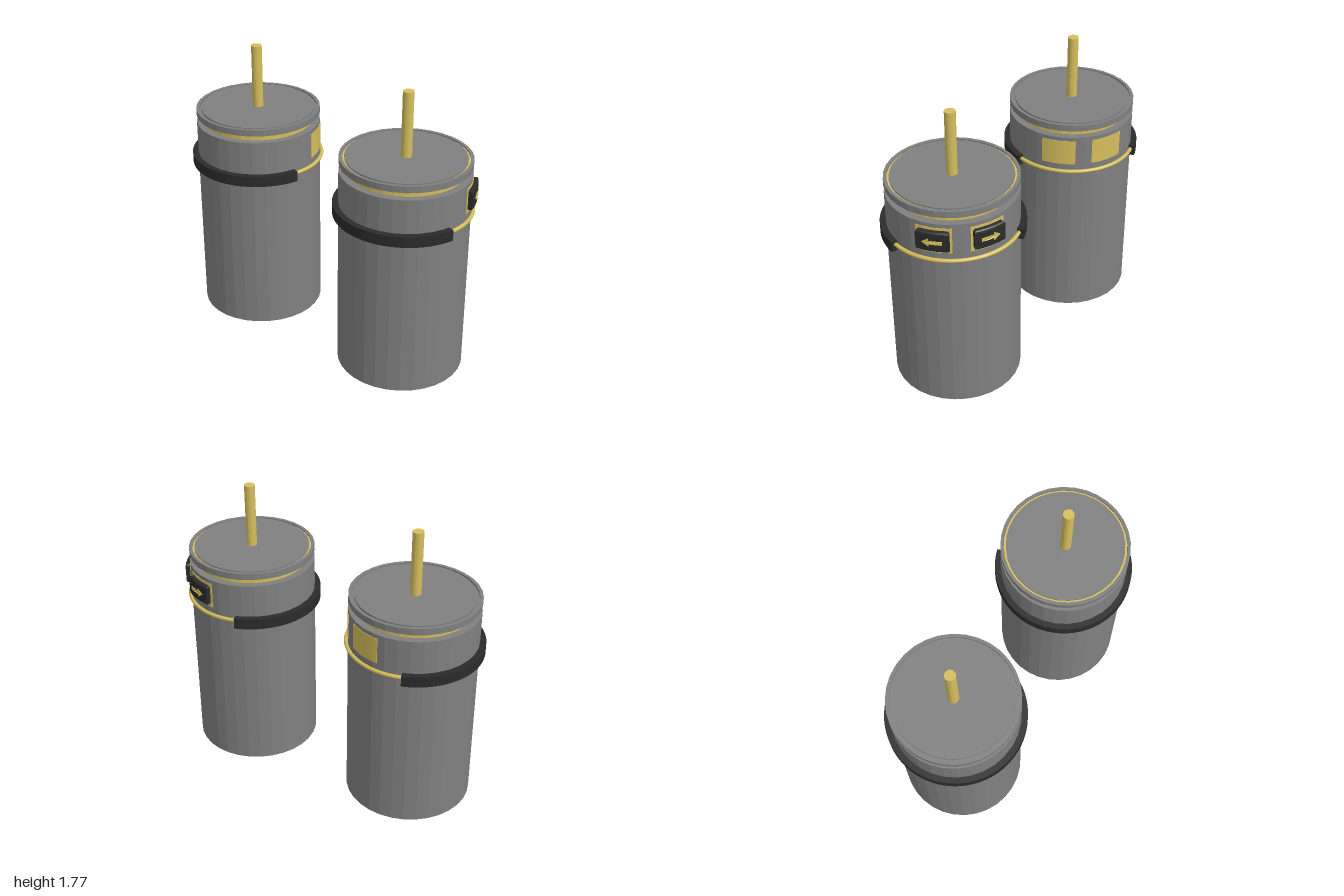
import * as THREE from 'three';

const SIDES = 32;
const R = 0.39;
const rad = THREE.MathUtils.degToRad;

// Angles run from +x towards the back (-z); the band opening is centred here
const OPENING = 44.5;
const OPENING_HALF = 61.5;
const WINDOW_OFFSET = 23;

const grey = new THREE.MeshStandardMaterial({ color: 0x808080 });
grey.name = 'metalGrey';
const gold = new THREE.MeshStandardMaterial({ color: 0xd6be5c });
gold.name = 'brassGold';
const black = new THREE.MeshStandardMaterial({ color: 0x2b2b2b });
black.name = 'rubberBlack';

function add(parent, name, geometry, material) {
  const mesh = new THREE.Mesh(geometry, material);
  mesh.name = name;
  parent.add(mesh);
  return mesh;
}

function faceted(geometry) {
  const g = geometry.toNonIndexed();
  g.computeVertexNormals();
  return g;
}

function cylinder(r, y0, y1, sides = SIDES) {
  return faceted(new THREE.CylinderGeometry(r, r, y1 - y0, sides).translate(0, (y0 + y1) / 2, 0));
}

// Curved block between two radii, two heights and two angles
function arcBlock(r0, r1, y0, y1, a0, a1, bevel = 0) {
  const shape = new THREE.Shape();
  shape.absarc(0, 0, r1, rad(a0), rad(a1), false);
  shape.absarc(0, 0, r0, rad(a1), rad(a0), true);
  const g = new THREE.ExtrudeGeometry(shape, {
    depth: y1 - y0 - 2 * bevel,
    curveSegments: Math.max(6, Math.round((a1 - a0) / 7)),
    bevelEnabled: bevel > 0,
    bevelSize: bevel,
    bevelThickness: bevel,
    bevelOffset: -bevel,
    bevelSegments: 3,
  });
  return g.rotateX(-Math.PI / 2).translate(0, y0 + bevel, 0);
}

// Thin arrow wrapped around the cylinder; dir is the way it points in angle
function arrow(r, y, angle, dir) {
  const half = [[-0.058, 0.011], [-0.02, 0.011], [0.018, 0.011], [0.018, 0.027], [0.058, 0]];
  const points = [...half, ...half.slice(0, 4).reverse().map(([u, v]) => [u, -v])];
  const shape = new THREE.Shape(points.map(([u, v]) => new THREE.Vector2(u * dir, v)));
  const g = new THREE.ExtrudeGeometry(shape, { depth: 0.008, bevelEnabled: false });
  const p = g.attributes.position;
  for (let i = 0; i < p.count; i++) {
    const a = rad(angle) + p.getX(i) / r;
    const d = r + p.getZ(i);
    p.setXYZ(i, d * Math.cos(a), y + p.getY(i), -d * Math.sin(a));
  }
  g.computeVertexNormals();
  return g;
}

// Lid with a narrow groove inside its rim
function lid() {
  const profile = [
    [0, 1.335], [R, 1.335], [R, 1.375], [0.37, 1.375],
    [0.37, 1.362], [0.357, 1.362], [0.357, 1.375], [0, 1.375],
  ].map(([x, y]) => new THREE.Vector2(x, y));
  return faceted(new THREE.LatheGeometry(profile, SIDES));
}

function canister(name, x, z, withButtons) {
  const can = new THREE.Group();
  can.name = name;
  can.position.set(x, 0, z);

  add(can, 'body', cylinder(R, 0, 1.29), grey);
  add(can, 'neck', cylinder(0.347, 1.28, 1.34), gold);
  add(can, 'lid', lid(), grey);
  add(can, 'topRod', cylinder(0.033, 1.37, 1.775, 16), gold);

  // Ring and the rubber band that covers most of it
  const ring = new THREE.TorusGeometry(0.4, 0.012, 8, 64).rotateX(Math.PI / 2).translate(0, 1.055, 0);
  add(can, 'ring', ring, gold);
  add(can, 'band', arcBlock(0.385, 0.426, 1.012, 1.08,
    OPENING + OPENING_HALF, OPENING - OPENING_HALF + 360), black);

  // Two brass windows above the ring opening
  for (const side of [-1, 1]) {
    const a = OPENING + side * WINDOW_OFFSET;
    add(can, 'window', arcBlock(0.386, 0.392, 1.102, 1.265, a - 15.5, a + 15.5), gold);
    if (!withButtons) continue;
    add(can, 'button', arcBlock(0.375, 0.42, 1.12, 1.25, a - 13.5, a + 13.5, 0.016), black);
    add(can, 'arrow', arrow(0.416, 1.185, a, side), gold);
  }

  // Brass inlay in the lid groove
  if (withButtons) {
    const inlay = new THREE.RingGeometry(0.357, 0.37, SIDES).rotateX(-Math.PI / 2).translate(0, 1.366, 0);
    inlay.rotateY(Math.PI / 2);
    add(can, 'lidInlay', inlay, gold);
  }
  return can;
}

export function createModel() {
  const model = new THREE.Group();
  model.name = 'canisterPair';
  model.add(canister('rightCanister', -0.573, -0.03, false));
  model.add(canister('leftCanister', 0.582, 0.03, true));
  return model;
}
